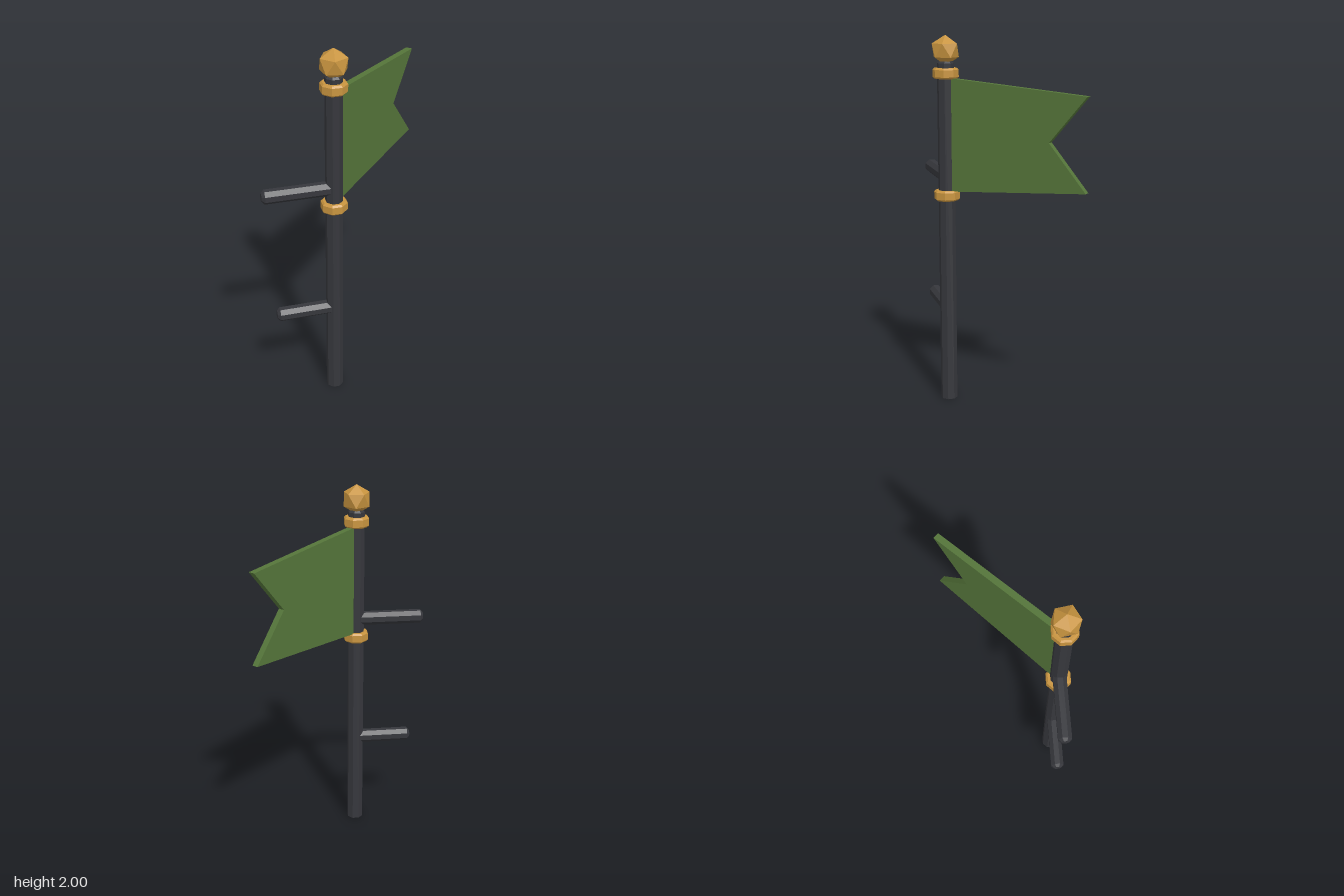
import * as THREE from 'three';

const POLE_X = -0.107, POLE_Z = 0.258;

const material = (color) => new THREE.MeshStandardMaterial({ color, flatShading: true });

// Octagonal bar along y with flats facing the axes; a = half width across flats,
// c0 and c1 = chamfers at the bottom and top ends
function octBar(a, y0, y1, c0, c1) {
  const k = 1 / Math.cos(Math.PI / 8);
  const profile = [[0, y0], [a - c0, y0]];
  if (c0) profile.push([a, y0 + c0]);
  if (c1) profile.push([a, y1 - c1]);
  profile.push([a - c1, y1], [0, y1]);
  const points = profile.map(([r, y]) => new THREE.Vector2(r * k, y));
  const g = new THREE.LatheGeometry(points, 8, Math.PI / 8).toNonIndexed();
  g.computeVertexNormals();
  return g;
}

export function createModel() {
  const model = new THREE.Group();
  model.name = 'flagpole';
  const iron = material(0x36373c);
  const gold = material(0xc8943f);
  const cloth = material(0x55753a);

  const add = (name, geometry, mat, y = 0) => {
    const mesh = new THREE.Mesh(geometry, mat);
    mesh.name = name;
    mesh.position.set(POLE_X, y, POLE_Z);
    model.add(mesh);
    return mesh;
  };

  // Upright pole
  add('pole', octBar(0.042, 0, 1.865, 0, 0.01), iron);

  // Collars above and below the flag
  for (const [name, y] of [['upperCollar', 1.803], ['lowerCollar', 1.156]]) {
    add(name, octBar(0.064, -0.028, 0.028, 0.009, 0.009), gold, y);
  }

  // Faceted finial, standing on one of its corners
  const finial = new THREE.IcosahedronGeometry(0.079, 0);
  finial.rotateZ(Math.atan(2 / (1 + Math.sqrt(5))));
  finial.rotateY(THREE.MathUtils.degToRad(9));
  add('finial', finial, gold, 1.921);

  // Climbing pegs pointing to the right side
  for (const [name, y, length] of [['upperPeg', 1.256, 0.373], ['lowerPeg', 0.53, 0.315]]) {
    const peg = octBar(0.035, 0, length, 0, 0.015);
    peg.rotateZ(Math.PI / 2);
    add(name, peg, iron, y);
  }

  // Swallowtail flag swung back by 45 degrees
  const outline = [[0.02, 1.178], [0.813, 1.238], [0.608, 1.479], [0.813, 1.72], [0.02, 1.78]];
  const shape = new THREE.Shape(outline.map(([u, y]) => new THREE.Vector2(u, y)));
  const thickness = 0.034;
  const flag = new THREE.ExtrudeGeometry(shape, { depth: thickness, bevelEnabled: false });
  flag.translate(0, 0, -thickness / 2);
  flag.rotateY(Math.PI / 4);
  add('flag', flag, cloth);

  return model;
}
